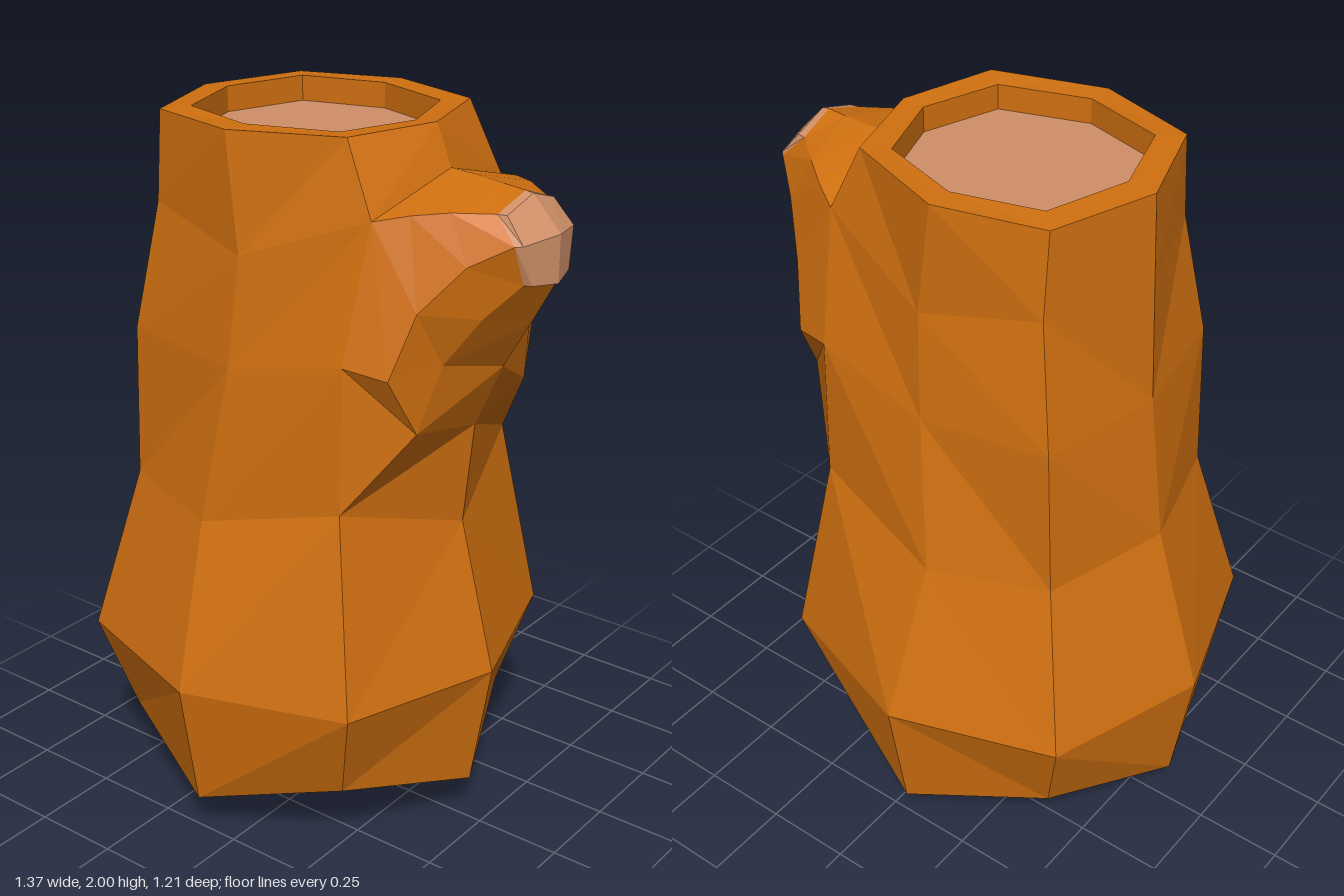
import * as THREE from 'three';

// Full eight-point ring from five points of its front half, mirrored across z (z0 shifts it sideways)
function ring(half, z0 = 0) {
  const front = half.map(([x, y, z]) => new THREE.Vector3(x, y, z + z0));
  const back = half.slice(1, -1).reverse().map(([x, y, z]) => new THREE.Vector3(x, y, -z + z0));
  return [...front, ...back];
}

// Ring collapsed to a single point, closing a loft
const point = (x, y, z) => ring(Array(5).fill([x, y, 0]), z);

// Faceted skin through a series of rings, split symmetrically front and back
function loft(rings) {
  const pos = [];
  const tri = new THREE.Triangle();
  const add = (a, b, c) => {
    if (tri.set(a, b, c).getArea() > 1e-6) for (const p of [a, b, c]) pos.push(p.x, p.y, p.z);
  };
  for (let r = 0; r + 1 < rings.length; r++) {
    for (let i = 0; i < 8; i++) {
      const j = (i + 1) % 8;
      const a = rings[r][i], b = rings[r][j], c = rings[r + 1][j], d = rings[r + 1][i];
      if (i < 4) { add(a, b, c); add(a, c, d); } else { add(a, b, d); add(b, c, d); }
    }
  }
  const geo = new THREE.BufferGeometry();
  geo.setAttribute('position', new THREE.Float32BufferAttribute(pos, 3));
  geo.computeVertexNormals();
  return geo;
}

export function createModel() {
  const group = new THREE.Group();
  const bark = new THREE.MeshStandardMaterial({ color: 0xd07010, flatShading: true });
  const pale = new THREE.MeshStandardMaterial({ color: 0xd09068, flatShading: true });
  const add = (name, geo, mat) => {
    const mesh = new THREE.Mesh(geo, mat);
    mesh.name = name;
    group.add(mesh);
  };

  // Points run left side, diagonal, front, diagonal, right side
  const inner = (y) => ring([[-0.39, y, 0], [-0.315, y, 0.23], [-0.08, y, 0.295], [0.16, y, 0.215], [0.235, y, 0]]);
  const cutY = 1.925;

  // Trunk: pointed base, flared foot, narrow neck, rim and inner wall
  add('trunk', loft([
    point(-0.085, 0, 0),
    ring([[-0.63, 0.13, 0], [-0.465, 0.22, 0.38], [-0.085, 0.13, 0.545], [0.295, 0.22, 0.38], [0.46, 0.13, 0]]),
    ring([[-0.69, 0.5, 0], [-0.54, 0.5, 0.455], [-0.085, 0.5, 0.607], [0.37, 0.5, 0.455], [0.522, 0.5, 0]]),
    ring([[-0.545, 0.98, 0], [-0.44, 0.97, 0.355], [-0.115, 0.95, 0.462], [0.285, 1.05, 0.38], [0.41, 0.93, 0]]),
    ring([[-0.495, 1.4, 0], [-0.425, 1.4, 0.355], [-0.06, 1.38, 0.402], [0.285, 1.45, 0.37], [0.33, 1.4, 0]]),
    ring([[-0.48, 1.75, 0], [-0.37, 1.75, 0.31], [-0.04, 1.68, 0.375], [0.31, 1.81, 0.285], [0.345, 1.89, 0]]),
    ring([[-0.47, 1.99, 0], [-0.37, 1.99, 0.29], [-0.08, 1.995, 0.37], [0.22, 2, 0.265], [0.3, 2, 0]]),
    inner(1.995),
    inner(cutY),
  ]), bark);

  // Pale sunken disc inside the rim
  add('topCut', loft([inner(cutY), point(-0.08, cutY, 0)]), pale);

  // Side branch: points run top, upper, side, lower, bottom
  const branchEnd = ring([[0.578, 1.877, 0], [0.57, 1.84, 0.11], [0.635, 1.775, 0.13], [0.64, 1.67, 0.093], [0.675, 1.66, 0]], 0.02);
  add('sideBranch', loft([
    ring([[0.345, 1.89, 0], [0.31, 1.81, 0.285], [0.285, 1.45, 0.37], [0.285, 1.05, 0.38], [0.41, 0.93, 0]]),
    ring([[0.345, 1.89, 0], [0.31, 1.81, 0.285], [0.4, 1.43, 0.335], [0.43, 1.27, 0.25], [0.44, 1.22, 0]]),
    ring([[0.42, 1.886, 0], [0.39, 1.828, 0.235], [0.445, 1.6, 0.28], [0.47, 1.45, 0.2], [0.52, 1.4, 0]]),
    ring([[0.51, 1.88, 0], [0.475, 1.84, 0.18], [0.54, 1.72, 0.2], [0.56, 1.58, 0.155], [0.605, 1.54, 0]], 0.01),
    branchEnd,
  ]), bark);

  // Pale blunt tip of the branch
  const tip = ring([[0.6, 1.873, 0], [0.595, 1.84, 0.105], [0.65, 1.775, 0.115], [0.66, 1.67, 0.085], [0.683, 1.66, 0]], 0.02);
  add('branchTip', loft([branchEnd, tip, point(0.683, 1.785, 0.02)]), pale);

  return group;
}
